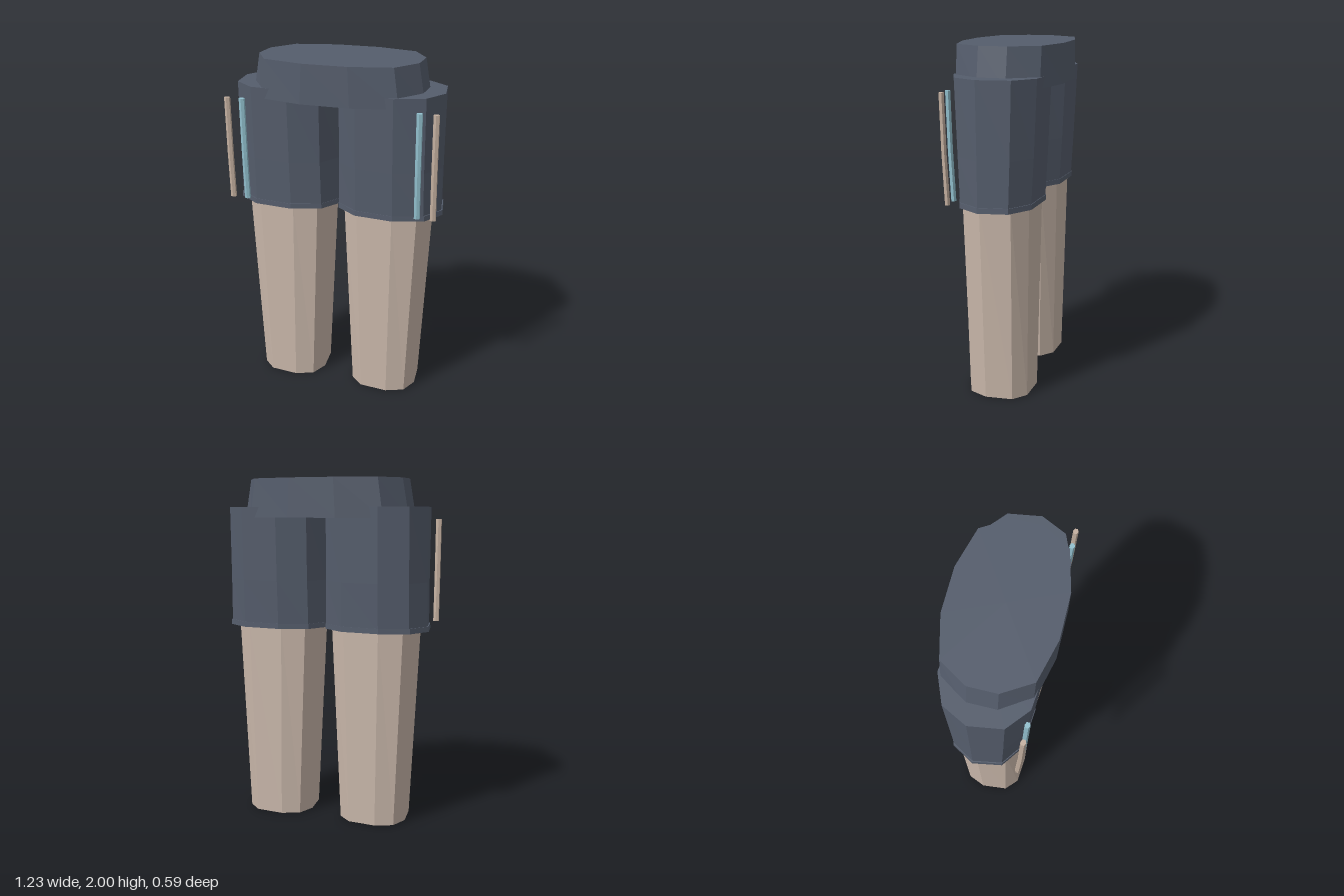
import * as THREE from 'three';

const mat = (name, color) => {
  const m = new THREE.MeshStandardMaterial({ color });
  m.name = name;
  return m;
};

// Unit outline of n points; phase in degrees, running from +x towards +z.
// A power below 1 makes the oval fuller at the corners.
const ringOutline = (n, phase, power = 1) => Array.from({ length: n }, (_, i) => {
  const a = (phase + i * 360 / n) * Math.PI / 180;
  return [Math.cos(a), Math.sin(a)].map(v => Math.sign(v) * Math.abs(v) ** power);
});

// Capped solid through scaled copies of an outline; rings run bottom to top.
// Each ring is [y, radiusX, radiusZ, centreZ].
function loft(outline, rings) {
  const pos = [];
  const n = outline.length;
  const pt = (r, i) => {
    const [y, rx, rz, cz = 0] = rings[r];
    const [x, z] = outline[i % n];
    return [x * rx, y, z * rz + cz];
  };
  const top = rings.length - 1;
  for (let i = 0; i < n; i++) {
    for (let r = 0; r < top; r++) {
      const a = pt(r, i), b = pt(r, i + 1), c = pt(r + 1, i + 1), d = pt(r + 1, i);
      pos.push(...a, ...c, ...b, ...a, ...d, ...c);
    }
    pos.push(0, rings[0][0], rings[0][3] ?? 0, ...pt(0, i), ...pt(0, i + 1));
    pos.push(0, rings[top][0], rings[top][3] ?? 0, ...pt(top, i + 1), ...pt(top, i));
  }
  const g = new THREE.BufferGeometry();
  g.setAttribute('position', new THREE.Float32BufferAttribute(pos, 3));
  g.computeVertexNormals();
  return g;
}

export function createModel() {
  const root = new THREE.Group();
  root.name = 'shortsAndLegs';
  const skin = mat('skin', 0xc9b7aa);
  const cloth = mat('slateCloth', 0x555d6c);
  const blue = mat('paleBlue', 0x92c0ce);
  const tan = mat('tanTrim', 0xc5b1a1);

  const add = (name, geometry, material, x = 0) => {
    const m = new THREE.Mesh(geometry, material);
    m.name = name;
    m.position.x = x;
    root.add(m);
  };

  // Waist block: twelve-sided oval, widening downwards
  const quarter = [[1, 0.27], [0.79, 0.8], [0.28, 1]];
  const half = [...quarter, ...quarter.map(([x, z]) => [-x, z]).reverse()];
  const oval = [...half, ...half.map(([x, z]) => [-x, -z])];
  add('waist', loft(oval, [[1.78, 0.5, 0.295], [2, 0.462, 0.295]]), cloth);

  // Ten-sided ovals shared by both sides
  const legOutline = ringOutline(10, 8, 0.74);
  const shortsOutline = ringOutline(10, 8, 0.86);
  const stripOutline = ringOutline(6, 30);

  for (const [side, s] of [['left', 1], ['right', -1]]) {
    add(side + 'Leg', loft(legOutline, [[0, 0.2, 0.193, 0.004], [1.16, 0.258, 0.213, 0.005]]), skin, s * 0.295);

    add(side + 'ShortsLeg', loft(shortsOutline, [
      [1.15, 0.31, 0.229], [1.42, 0.306, 0.243], [1.84, 0.306, 0.26],
    ]), cloth, s * 0.302);
    add(side + 'Hem', loft(shortsOutline, [[1.14, 0.316, 0.233], [1.17, 0.314, 0.233]]), cloth, s * 0.304);

    // Slim bent trim strips standing at the front of each side
    const strip = loft(stripOutline, [
      [1.17, 0.018, 0.015, 0.214], [1.44, 0.018, 0.015, 0.227], [1.77, 0.018, 0.015, 0.235],
    ]);
    add(side + 'InnerStrip', strip, blue, s * 0.51);
    add(side + 'OuterStrip', strip, tan, s * 0.6);
  }
  return root;
}
